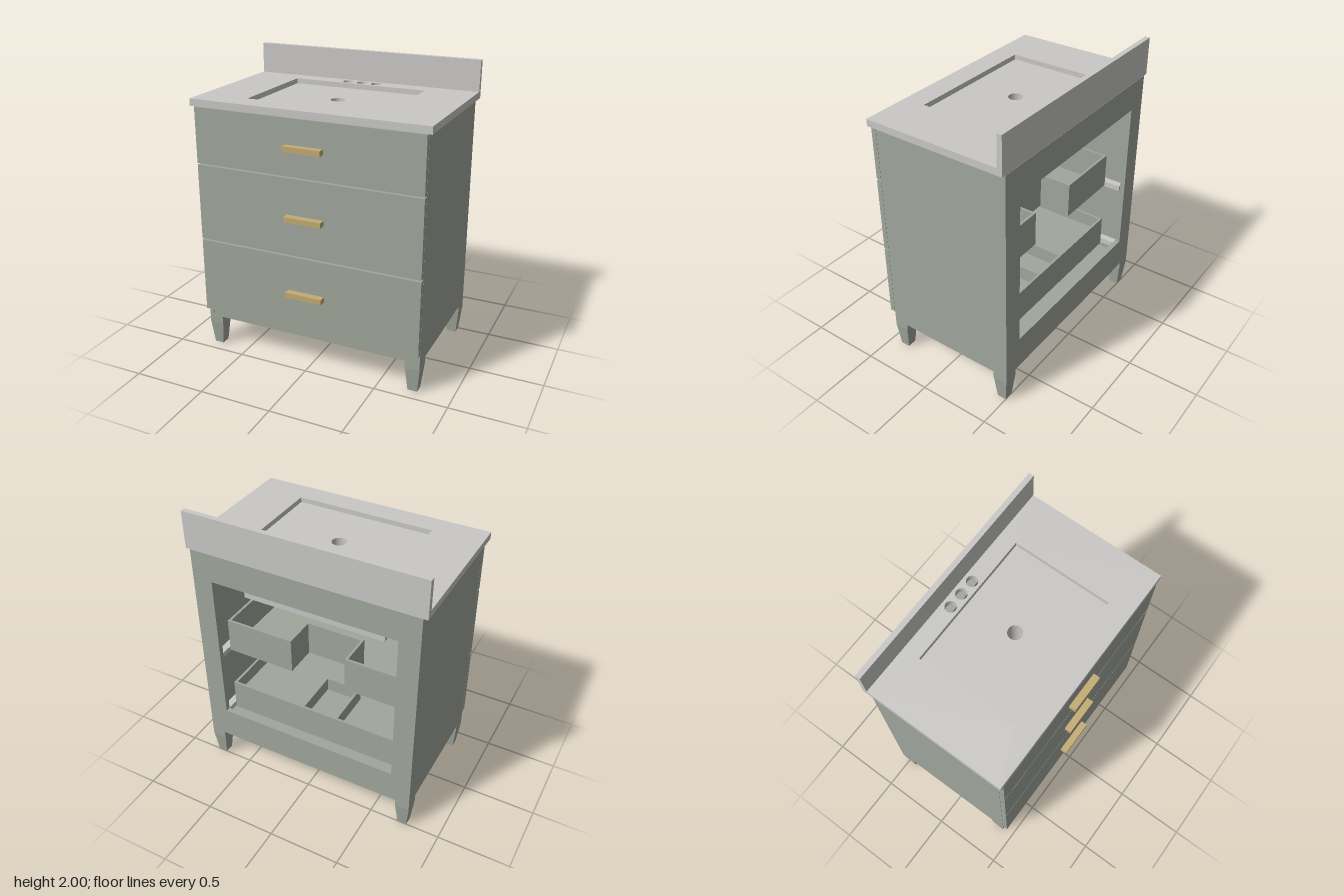
import * as THREE from 'three';

export function createModel() {
  const root = new THREE.Group();
  root.name = 'vanityCabinet';
  const mat = (name, color) => {
    const m = new THREE.MeshStandardMaterial({ color });
    m.name = name;
    return m;
  };
  const green = mat('sageGreen', 0xa0a69c);
  const stone = mat('paleStone', 0xc9c8c6);
  const brass = mat('brass', 0xc3ab73);

  const add = (name, geometry, material) => {
    const m = new THREE.Mesh(geometry, material);
    m.name = name;
    root.add(m);
    return m;
  };
  // Box given by its limits on each axis
  const box = (name, x0, x1, y0, y1, z0, z1, material = green) => {
    const g = new THREE.BoxGeometry(x1 - x0, y1 - y0, z1 - z0);
    g.translate((x0 + x1) / 2, (y0 + y1) / 2, (z0 + z1) / 2);
    return add(name, g, material);
  };
  // Horizontal slab from a plan outline of [x, z] points, with holes
  const outline = (pts, Type) => new Type(pts.map(([x, z]) => new THREE.Vector2(x, -z)));
  const rect = (x0, x1, z0, z1) => [[x0, z1], [x1, z1], [x1, z0], [x0, z0]];
  const round = (x, z, r) => {
    const p = new THREE.Path();
    p.absarc(x, -z, r, 0, Math.PI * 2, true);
    return p;
  };
  const slab = (name, pts, holes, y0, y1, material) => {
    const s = outline(pts, THREE.Shape);
    s.holes.push(...holes);
    const g = new THREE.ExtrudeGeometry(s, { depth: y1 - y0, bevelEnabled: false, curveSegments: 24 });
    g.rotateX(-Math.PI / 2);
    g.translate(0, y0, 0);
    return add(name, g, material);
  };

  // Countertop with basin opening and three tap holes
  slab('countertop', rect(-0.815, 0.815, -0.52, 0.475), [
    outline(rect(-0.477, 0.477, -0.37, 0.32), THREE.Path),
    ...[-0.105, 0, 0.105].map(x => round(x, -0.427, 0.038)),
  ], 1.742, 1.79, stone);
  box('backsplash', -0.815, 0.815, 1.79, 2, -0.52, -0.485, stone);
  // Basin body with drain
  slab('basin', rect(-0.5, 0.5, -0.385, 0.335), [round(0, -0.025, 0.048)], 1.39, 1.755, stone);

  // Carcass: sides, base, front rails, back frame
  for (const s of [-1, 1]) {
    const a = s * 0.785, b = s * 0.75, c = s * 0.645;
    box('sidePanel', Math.min(a, b), Math.max(a, b), 0.22, 1.74, -0.52, 0.435);
    box('backStile', Math.min(b, c), Math.max(b, c), 0.22, 1.74, -0.52, -0.485);
  }
  box('bottomPanel', -0.75, 0.75, 0.22, 0.26, -0.485, 0.41);
  box('backTopRail', -0.645, 0.645, 1.54, 1.74, -0.52, -0.485);
  box('backBottomRail', -0.645, 0.645, 0.22, 0.45, -0.52, -0.485);
  box('topStretcher', -0.75, 0.75, 1.705, 1.74, -0.485, -0.415);
  box('frontBottomRail', -0.75, 0.75, 0.22, 0.28, 0.4, 0.432);
  for (const y of [0.82, 1.357]) box('frontRail', -0.75, 0.75, y - 0.03, y + 0.03, 0.4, 0.432);

  // Drawer fronts with bar handles
  for (const [y0, y1, h] of [[0.29, 0.815, 0.555], [0.826, 1.351, 1.088], [1.362, 1.738, 1.552]]) {
    box('drawerFront', -0.785, 0.785, y0, y1, 0.437, 0.473);
    box('handle', -0.13, 0.13, h - 0.018, h + 0.018, 0.473, 0.52, brass);
  }

  // Drawer boxes: walls are the outline with an inset hole
  const t = 0.018;
  // Middle drawer, notched at the back for the pipes
  const notched = (i) => [
    [-0.7 + i, 0.43 - i], [0.7 - i, 0.43 - i], [0.7 - i, -0.33 + i], [0.2 + i, -0.33 + i],
    [0.2 + i, -0.1 + i], [-0.2 - i, -0.1 + i], [-0.2 - i, -0.33 + i], [-0.7 + i, -0.33 + i],
  ];
  slab('middleDrawerWalls', notched(0), [outline(notched(t), THREE.Path)], 0.85, 1.1, green);
  slab('middleDrawerFloor', notched(t), [], 0.865, 0.88, green);
  // Bottom drawer with a small rear compartment
  slab('bottomDrawerWalls', rect(-0.7, 0.7, -0.33, 0.43),
    [outline(rect(-0.7 + t, 0.7 - t, -0.33 + t, 0.43 - t), THREE.Path)], 0.32, 0.55, green);
  box('bottomDrawerFloor', -0.7 + t, 0.7 - t, 0.435, 0.45, -0.33 + t, 0.43 - t);
  for (const x of [-0.13, 0.13]) box('divider', x - t / 2, x + t / 2, 0.45, 0.55, -0.33 + t, 0.02);
  box('dividerEnd', -0.13 - t / 2, 0.13 + t / 2, 0.45, 0.55, 0.02, 0.02 + t);

  // Drawer runners
  for (const y of [0.33, 0.84]) for (const s of [-1, 1]) {
    const x = s * 0.725;
    box('drawerRunner', x - 0.025, x + 0.025, y, y + 0.04, -0.45, 0.4, stone);
  }

  // Feet: square block over a tapered foot
  const footGeometry = new THREE.BoxGeometry(0.1, 0.17, 0.1);
  const p = footGeometry.attributes.position;
  for (let i = 0; i < p.count; i++) {
    if (p.getY(i) < 0) p.setXYZ(i, p.getX(i) * 0.65, p.getY(i), p.getZ(i) * 0.65);
  }
  footGeometry.computeVertexNormals();
  for (const x of [-0.735, 0.735]) for (const z of [-0.468, 0.383]) {
    box('footBlock', x - 0.05, x + 0.05, 0.17, 0.22, z - 0.052, z + 0.052);
    add('taperedFoot', footGeometry, green).position.set(x, 0.085, z);
  }
  return root;
}
